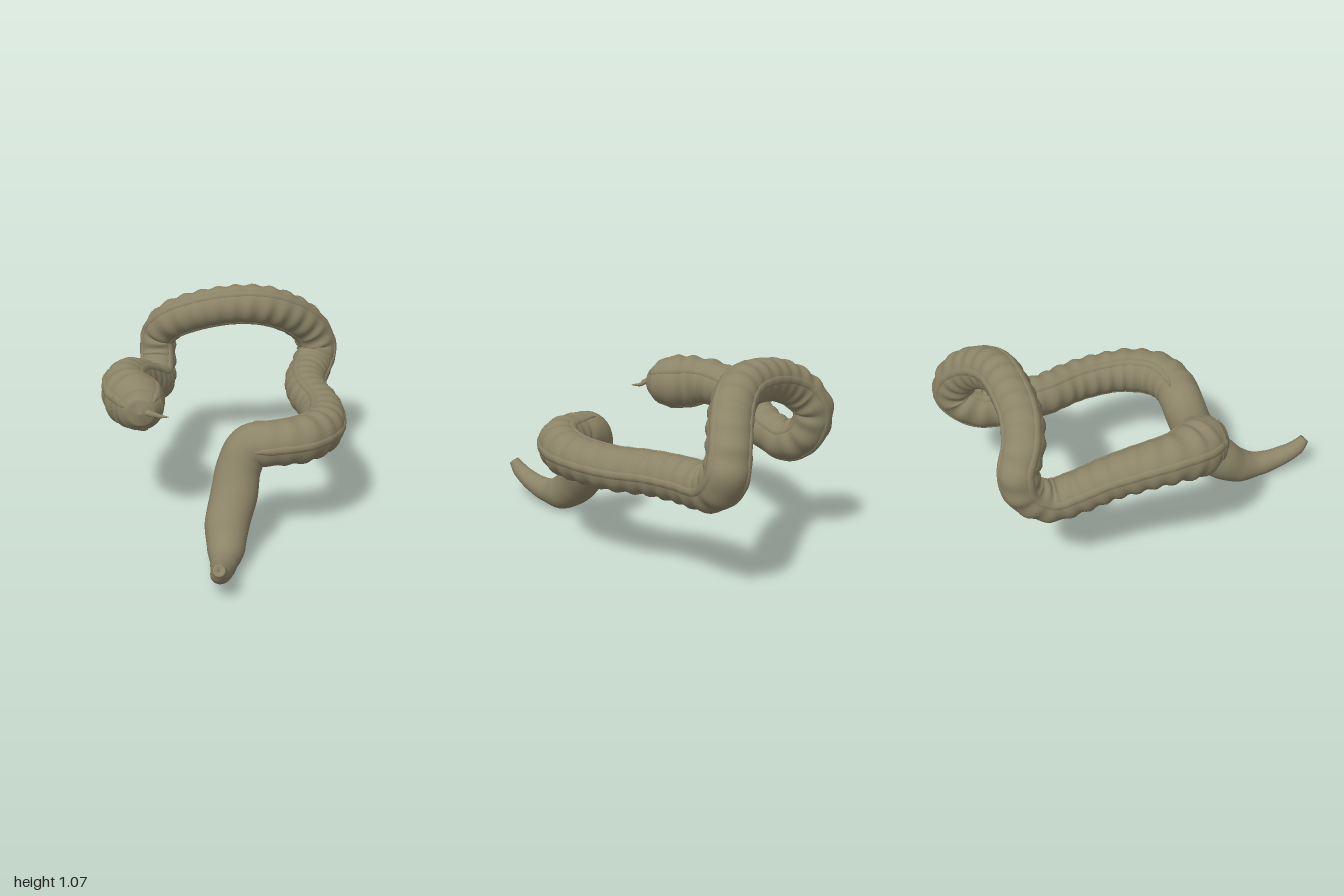
import * as THREE from 'three';
import { mergeVertices } from 'three/addons/utils/BufferGeometryUtils.js';

// Centre line of the bowel: x, y, z, radius
const PATH = [
  [-0.02, 0.195, 0.975, 0.03], [-0.02, 0.145, 0.925, 0.044], [-0.01, 0.1, 0.82, 0.055],
  [0.0, 0.08, 0.7, 0.068], [0.01, 0.1, 0.58, 0.097], [0.015, 0.18, 0.47, 0.115],
  [0.05, 0.3, 0.37, 0.122], [0.075, 0.43, 0.31, 0.116], [0.13, 0.53, 0.285, 0.115],
  [0.25, 0.55, 0.29, 0.115], [0.39, 0.555, 0.25, 0.12], [0.49, 0.55, 0.13, 0.118],
  [0.525, 0.545, 0, 0.112], [0.52, 0.54, -0.2, 0.11], [0.465, 0.54, -0.4, 0.11],
  [0.455, 0.54, -0.6, 0.112], [0.49, 0.55, -0.77, 0.113], [0.53, 0.64, -0.87, 0.112],
  [0.49, 0.76, -0.86, 0.108], [0.41, 0.85, -0.81, 0.108], [0.3, 0.92, -0.755, 0.108],
  [0.17, 0.96, -0.715, 0.108], [0, 0.96, -0.7, 0.106], [-0.2, 0.915, -0.705, 0.106],
  [-0.32, 0.85, -0.74, 0.104], [-0.385, 0.75, -0.79, 0.1], [-0.39, 0.62, -0.76, 0.1],
  [-0.395, 0.54, -0.64, 0.106], [-0.415, 0.57, -0.5, 0.106], [-0.46, 0.645, -0.35, 0.108],
  [-0.51, 0.705, -0.2, 0.114], [-0.525, 0.73, -0.03, 0.122], [-0.49, 0.72, 0.08, 0.142],
  [-0.445, 0.715, 0.16, 0.143], [-0.43, 0.71, 0.23, 0.118], [-0.425, 0.71, 0.275, 0.07],
  [-0.425, 0.71, 0.292, 0.002],
];
const STEPS = 420, SIDES = 36, BANDS = [-1.75, 0.344, 2.44];

// Smooth surface from rows and columns of points
function grid(rows, cols, point) {
  const pos = [], idx = [];
  for (let i = 0; i <= rows; i++) for (let j = 0; j <= cols; j++) pos.push(...point(i, j).toArray());
  for (let i = 0; i < rows; i++) for (let j = 0; j < cols; j++) {
    const a = i * (cols + 1) + j, b = a + cols + 1;
    idx.push(a, a + 1, b, a + 1, b + 1, b);
  }
  let g = new THREE.BufferGeometry();
  g.setAttribute('position', new THREE.Float32BufferAttribute(pos, 3));
  g.setIndex(idx);
  g = mergeVertices(g, 1e-5);
  g.computeVertexNormals();
  return g;
}

// Stations along the path, with a frame that does not twist
function makeStations() {
  const curve = new THREE.CatmullRomCurve3(PATH.map(p => new THREE.Vector3(p[0], p[1], p[2])));
  const stations = [], n = PATH.length - 1;
  let normal = new THREE.Vector3(0, 1, 0), length = 0;
  for (let i = 0; i <= STEPS; i++) {
    const t = i / STEPS, k = Math.min(Math.floor(t * n), n - 1), f = t * n - k;
    const p = curve.getPoint(t), T = curve.getTangent(t);
    normal = normal.clone().addScaledVector(T, -normal.dot(T)).normalize();
    const s = f * f * (3 - 2 * f) * 0.5 + f * 0.5;
    const r = THREE.MathUtils.lerp(PATH[k][3], PATH[k + 1][3], k > n - 4 ? Math.sqrt(1 - (1 - f) ** 2) * 0.2 + f * 0.8 : s);
    if (i) length += p.distanceTo(stations[i - 1].p);
    stations.push({ p, N: normal, B: T.clone().cross(normal), r, length, u: t * n });
  }
  return stations;
}

export function createModel() {
  const model = new THREE.Group();
  const material = new THREE.MeshStandardMaterial({ color: 0x8c8467, side: THREE.DoubleSide });
  material.name = 'olive tissue';
  const add = (name, geometry) => {
    const mesh = new THREE.Mesh(geometry, material);
    mesh.name = name;
    model.add(mesh);
  };
  const stations = makeStations();

  // Point on the wall; pouches swell between the three bands
  const wall = (i, angle, lift = 0, scale = 1) => {
    const s = stations[i];
    const strength = THREE.MathUtils.smoothstep(s.u, 7, 11) * (1 - THREE.MathUtils.smoothstep(s.u, 32, 34));
    const rel = angle - BANDS[0];
    const between = Math.abs(Math.sin(1.5 * rel));
    const sector = Math.floor((((rel / (2 * Math.PI)) % 1 + 1) % 1) * 3);
    const wave = Math.sin(s.length * 2 * Math.PI / 0.09 + sector * 2.1);
    const r = s.r * scale * (1 + strength * between * (0.055 * wave + 0.01)) + lift;
    return s.p.clone().addScaledVector(s.N, Math.cos(angle) * r).addScaledVector(s.B, Math.sin(angle) * r);
  };

  // Bowel wall, beginning with the dimpled opening at the tail
  add('bowel', grid(STEPS + 2, SIDES, (i, j) => {
    const angle = (j % SIDES) / SIDES * Math.PI * 2;
    if (i === 0) return wall(3, angle, 0, 0.05);
    if (i === 1) return wall(0, angle, 0, 0.6);
    return wall(i - 2, angle);
  }));

  // Three raised bands running along the wall
  const first = Math.round(STEPS * 8.3 / (PATH.length - 1)), last = Math.round(STEPS * 34.6 / (PATH.length - 1));
  const profile = [[-1, -0.006], [-0.85, 0.005], [0, 0.007], [0.85, 0.005], [1, -0.006]];
  BANDS.forEach((band, b) => add('band' + (b + 1), grid(last - first, 4, (i, j) => {
    const k = first + i;
    const taper = Math.min(1, 0.15 + Math.min(i, last - first - i) / 8);
    const [side, lift] = profile[j];
    return wall(k, band + side * 0.021 * taper / stations[k].r, lift);
  })));

  // Thin tapering appendix on the blind end
  const line = new THREE.CatmullRomCurve3([
    new THREE.Vector3(-0.41, 0.715, 0.26), new THREE.Vector3(-0.37, 0.71, 0.285),
    new THREE.Vector3(-0.33, 0.7, 0.29), new THREE.Vector3(-0.28, 0.705, 0.315),
  ]);
  const frames = line.computeFrenetFrames(16);
  add('appendix', grid(16, 10, (i, j) => {
    const a = (j % 10) / 10 * Math.PI * 2, r = 0.021 * (1 - i / 16) ** 0.8 + 0.001;
    return line.getPointAt(i / 16)
      .addScaledVector(frames.normals[i], Math.cos(a) * r)
      .addScaledVector(frames.binormals[i], Math.sin(a) * r);
  }));
  return model;
}
